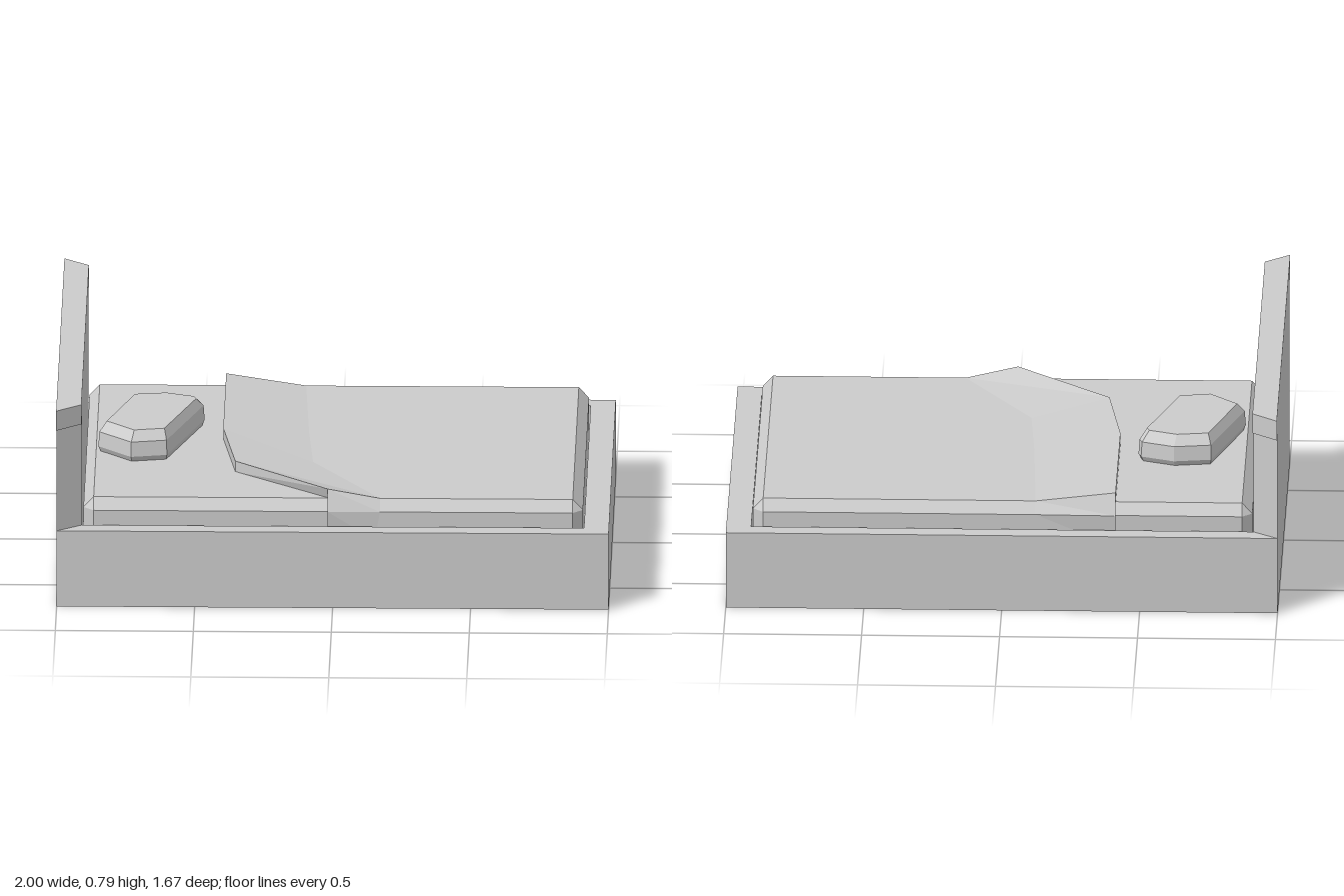
import * as THREE from 'three';

const material = new THREE.MeshStandardMaterial({ color: 0xcccccc, flatShading: true });
const sheetMaterial = new THREE.MeshStandardMaterial({ color: 0xcccccc, flatShading: true, side: THREE.DoubleSide });

function fromTriangles(points) {
  const geo = new THREE.BufferGeometry();
  geo.setAttribute('position', new THREE.Float32BufferAttribute(points.flat(), 3));
  geo.computeVertexNormals();
  return geo;
}

// Closed solid through horizontal rings [{ y, pts: [[x, z], ...] }], listed upwards
function loft(rings) {
  const tris = [];
  const n = rings[0].pts.length;
  const at = (r, i) => [r.pts[i % n][0], r.y, r.pts[i % n][1]];
  const centre = (r) => [0, 1].map((k) => r.pts.reduce((s, p) => s + p[k], 0) / n);
  for (let i = 0; i < n; i++) {
    for (let j = 0; j + 1 < rings.length; j++) {
      const a = at(rings[j], i), b = at(rings[j], i + 1);
      const c = at(rings[j + 1], i + 1), d = at(rings[j + 1], i);
      tris.push(a, b, c, a, c, d);
    }
    const lo = rings[0], hi = rings[rings.length - 1];
    const [lx, lz] = centre(lo), [hx, hz] = centre(hi);
    tris.push([lx, lo.y, lz], at(lo, i + 1), at(lo, i));
    tris.push([hx, hi.y, hz], at(hi, i), at(hi, i + 1));
  }
  return fromTriangles(tris);
}

function rectangle(Path, x0, x1, z) {
  return new Path([[x0, -z], [x1, -z], [x1, z], [x0, z]].map((p) => new THREE.Vector2(...p)));
}

// Rectangle with its corners cut: half sizes X, Z and half flat lengths a, b
function octagon(X, Z, a, b) {
  return [[X, b], [X, -b], [a, -Z], [-a, -Z], [-X, -b], [-X, b], [-a, Z], [a, Z]];
}

export function createModel() {
  const model = new THREE.Group();
  const add = (name, geometry, mat = material) => {
    const mesh = new THREE.Mesh(geometry, mat);
    mesh.name = name;
    model.add(mesh);
    return mesh;
  };

  // Box base with a recess for the mattress
  const floorY = 0.2;
  const outline = rectangle(THREE.Shape, -1, 1, 0.735);
  outline.holes.push(rectangle(THREE.Path, -0.91, 0.91, 0.67));
  const rim = new THREE.ExtrudeGeometry(outline, { depth: 0.29, bevelEnabled: false });
  add('bedFrame', rim.rotateX(-Math.PI / 2));
  add('frameFloor', new THREE.BoxGeometry(1.82, floorY, 1.34).translate(0, floorY / 2, 0));

  // Headboard and its overhanging cap, both splayed towards the back
  const splayed = (front, back) => [[-0.91, front], [-0.91, -front], [-1, -back], [-1, back]];
  const slab = (y0, y1, pts) => loft([{ y: y0, pts }, { y: y1, pts }]);
  add('headboard', slab(0.29, 0.71, splayed(0.67, 0.735)));
  add('headboardCap', slab(0.71, 0.785, splayed(0.765, 0.837)));

  // Mattress with chamfered edges
  const body = octagon(0.905, 0.65, 0.868, 0.615);
  add('mattress', loft([
    { y: floorY, pts: body },
    { y: 0.34, pts: body },
    { y: 0.38, pts: octagon(0.868, 0.615, 0.868, 0.615) },
  ]));

  // Turned-back blanket: rows [z, fold x, fold y, merge x, merge y, merge z]
  const rows = [
    [-0.655, -0.41, 0.22, -0.12, 0.22, -0.648],
    [-0.668, -0.41, 0.345, -0.12, 0.34, -0.65],
    [-0.63, -0.41, 0.42, -0.12, 0.38, -0.615],
    [-0.03, -0.41, 0.42, -0.1, 0.38, -0.1],
    [0.33, -0.36, 0.42, -0.08, 0.38, 0.22],
    [0.63, -0.02, 0.42, 0.17, 0.38, 0.615],
    [0.668, -0.02, 0.345, 0.17, 0.34, 0.65],
    [0.655, -0.02, 0.22, 0.17, 0.22, 0.648],
  ].map(([z, fx, fy, mx, my, mz]) => {
    const side = Math.abs(z) > 0.64;
    return [
      [fx, side ? fy : 0.378, Math.sign(z) * Math.min(Math.abs(z), side ? 0.64 : 0.61)],
      [fx, fy, z],
      [mx, my, mz],
    ];
  });
  const cloth = [];
  for (let r = 0; r + 1 < rows.length; r++) {
    for (let c = 0; c < 2; c++) {
      const a = rows[r][c], b = rows[r + 1][c], d = rows[r + 1][c + 1], e = rows[r][c + 1];
      cloth.push(a, b, d, a, d, e);
    }
  }
  add('blanket', fromTriangles(cloth), sheetMaterial);

  // Faceted pillow lying askew
  const plan = [[-0.48, -0.18], [-0.49, -0.21], [-0.61, -0.255], [-0.745, -0.235],
    [-0.86, 0.12], [-0.74, 0.235], [-0.61, 0.21]];
  const scaled = (s) => plan.map(([x, z]) => [-0.67 + (x + 0.67) * s, -0.01 + (z + 0.01) * s]);
  add('pillow', loft([
    { y: 0.378, pts: scaled(0.95) },
    { y: 0.4, pts: scaled(1) },
    { y: 0.455, pts: scaled(0.98) },
    { y: 0.49, pts: scaled(0.84) },
  ]));

  return model;
}
